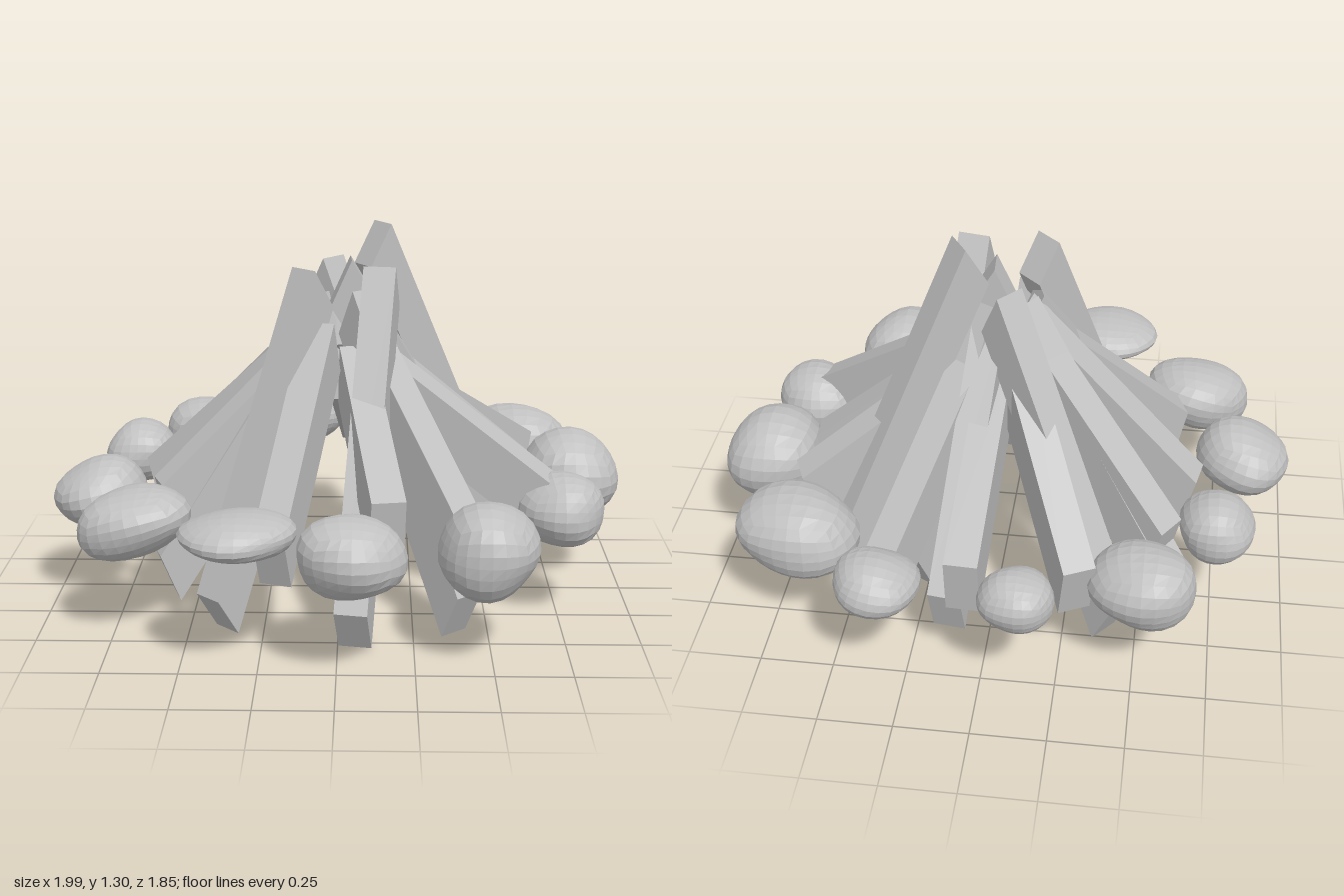
import * as THREE from 'three';

const grey = new THREE.MeshStandardMaterial({ color: 0xc0c0c0, flatShading: true });
grey.name = 'ash grey';

const SLANT = 1.92; // how far the log ends are skewed upward

// Square log from its outer foot to its inner tip, with slanted ends
function log(name, foot, tip, w = 0.11) {
  const a = new THREE.Vector3(...foot), b = new THREE.Vector3(...tip);
  a.y /= SLANT;
  b.y /= SLANT;
  const frame = new THREE.Object3D();
  frame.position.copy(a).lerp(b, 0.5);
  frame.lookAt(b);
  frame.updateMatrix();
  const geo = new THREE.BoxGeometry(w, w, a.distanceTo(b));
  geo.applyMatrix4(frame.matrix).scale(1, SLANT, 1);
  const mesh = new THREE.Mesh(geo, grey);
  mesh.name = name;
  return mesh;
}

// Lumpy faceted pebble made from a rounded cube
function stone(i, [x, y, z, rx, ry, rz, tilt = 0]) {
  const geo = new THREE.BoxGeometry(2, 2, 2, 6, 6, 6);
  const p = geo.attributes.position, v = new THREE.Vector3();
  for (let k = 0; k < p.count; k++) {
    v.fromBufferAttribute(p, k);
    v.set(Math.tan(v.x * 0.785), Math.tan(v.y * 0.785), Math.tan(v.z * 0.785)).normalize();
    const lump = 1 + 0.05 * Math.sin(3 * v.x + i * 1.7) * Math.cos(2.5 * v.z + i)
      + 0.03 * Math.sin(4 * v.y + 2 * v.x + i * 2.3);
    v.multiplyScalar(lump);
    p.setXYZ(k, v.x * rx, v.y * ry, v.z * rz);
  }
  geo.computeVertexNormals();
  const mesh = new THREE.Mesh(geo, grey);
  mesh.name = 'stone' + (i + 1);
  mesh.position.set(x, y, z);
  mesh.rotation.z = tilt;
  return mesh;
}

export function createModel() {
  const model = new THREE.Group();
  model.name = 'campfire';

  // Ring of stones: centre, radii, tilt
  const ring = new THREE.Group();
  ring.name = 'stoneRing';
  [
    [-0.13, 0.40, -0.81, 0.125, 0.10, 0.115],
    [0.33, 0.40, -0.78, 0.145, 0.095, 0.14, 0.15],
    [0.645, 0.37, -0.52, 0.21, 0.145, 0.178],
    [0.822, 0.375, -0.11, 0.178, 0.168, 0.187],
    [0.75, 0.37, 0.26, 0.147, 0.128, 0.147],
    [0.48, 0.36, 0.635, 0.163, 0.152, 0.178],
    [0.05, 0.385, 0.77, 0.168, 0.138, 0.148],
    [-0.305, 0.44, 0.725, 0.182, 0.07, 0.162],
    [-0.67, 0.38, 0.445, 0.19, 0.115, 0.158, 0.25],
    [-0.835, 0.365, 0.09, 0.162, 0.125, 0.168, 0.25],
    [-0.75, 0.385, -0.345, 0.132, 0.11, 0.142],
    [-0.52, 0.37, -0.655, 0.178, 0.135, 0.157],
  ].forEach((s, i) => ring.add(stone(i, s)));
  model.add(ring);

  // Steep logs forming the cone
  const cone = new THREE.Group();
  cone.name = 'steepLogs';
  [
    [[0.05, 0.06, 0.59], [0.14, 1.10, 0.10]],
    [[0.41, 0.06, 0.44], [0.06, 1.0, 0.03]],
    [[0.62, 0.06, -0.07], [0.0, 1.09, -0.035]],
    [[0.53, 0.17, -0.36], [0.11, 1.21, -0.10]],
    [[0.27, 0.20, -0.47], [0.06, 0.98, -0.08]],
    [[0.12, 0.20, -0.68], [0.04, 0.95, -0.08]],
    [[-0.42, 0.085, -0.52], [0.0, 1.07, -0.17]],
    [[-0.60, 0.18, -0.43], [-0.05, 0.95, -0.05]],
    [[-0.59, 0.12, 0.24], [-0.07, 0.93, 0.07]],
    [[-0.40, 0.06, 0.45], [-0.09, 1.10, 0.13]],
    [[-0.21, 0.29, 0.58], [-0.06, 0.90, 0.14]],
  ].forEach(([a, b], i) => cone.add(log('steepLog' + (i + 1), a, b)));
  model.add(cone);

  // Shallower logs leaning out toward the stones
  const outer = new THREE.Group();
  outer.name = 'leaningLogs';
  [
    [[0.05, 0.41, -0.79], [0.02, 0.76, -0.09]],
    [[0.33, 0.31, -0.62], [0.08, 0.85, -0.12]],
    [[0.66, 0.38, -0.33], [0.2, 0.70, -0.13]],
    [[0.65, 0.36, -0.06], [0.14, 0.78, -0.06]],
    [[0.70, 0.38, 0.26], [0.12, 0.79, 0.06]],
    [[0.43, 0.28, 0.47], [0.1, 0.86, 0.08]],
    [[0.16, 0.44, 0.70], [0.05, 0.79, 0.08]],
    [[-0.59, 0.36, 0.24], [-0.1, 0.83, 0.05]],
    [[-0.66, 0.34, -0.13], [-0.05, 0.92, -0.01]],
    [[-0.58, 0.33, -0.41], [-0.08, 0.88, -0.08]],
    [[-0.31, 0.35, -0.69], [-0.01, 0.88, -0.08]],
  ].forEach(([a, b], i) => outer.add(log('leaningLog' + (i + 1), a, b)));
  model.add(outer);

  return model;
}
